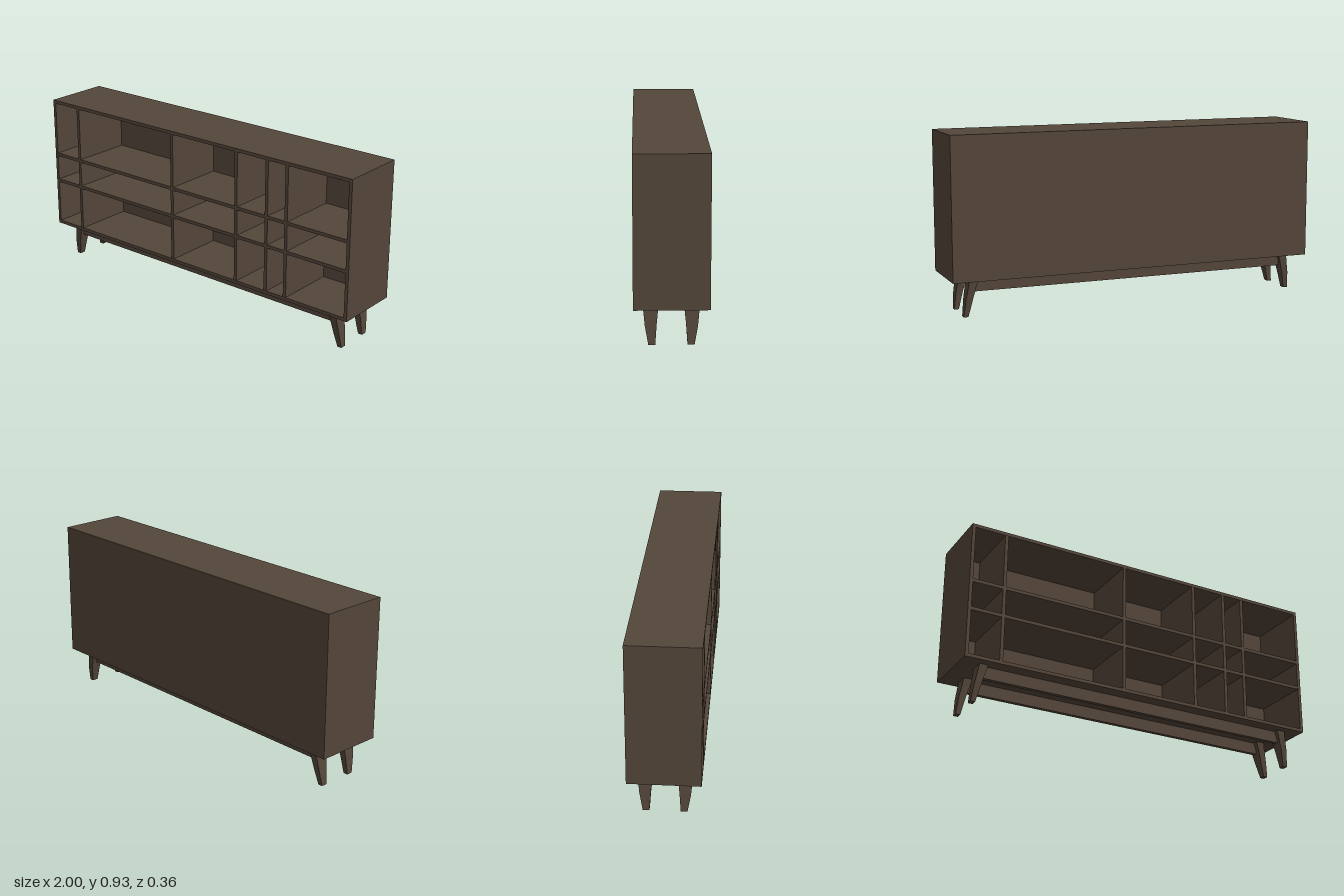
import * as THREE from 'three';

export function createModel() {
  const group = new THREE.Group();
  const wood = new THREE.MeshStandardMaterial({ color: 0x54463a });
  wood.name = 'darkWood';

  const X = 1, Z = 0.18, BOTTOM = 0.193, TOP = 0.93, T = 0.018;

  // Box given by its min and max corners
  function panel(name, x0, x1, y0, y1, z0, z1) {
    const mesh = new THREE.Mesh(new THREE.BoxGeometry(x1 - x0, y1 - y0, z1 - z0), wood);
    mesh.position.set((x0 + x1) / 2, (y0 + y1) / 2, (z0 + z1) / 2);
    mesh.name = name;
    group.add(mesh);
  }

  // Carcass
  panel('topPanel', -X, X, TOP - T, TOP, -Z, Z);
  panel('bottomPanel', -X, X, BOTTOM, BOTTOM + T, -Z, Z);
  panel('rightSide', -X, -X + T, BOTTOM + T, TOP - T, -Z, Z);
  panel('leftSide', X - T, X, BOTTOM + T, TOP - T, -Z, Z);
  panel('backPanel', -X + T, X - T, BOTTOM + T, TOP - T, -Z, -Z + 0.03);

  // Upright dividers
  const uprights = [-0.81, -0.124, 0.306, 0.5, 0.622];
  for (const x of uprights) {
    panel('divider', x - T / 2, x + T / 2, BOTTOM + T, TOP - T, -Z + 0.03, Z - 0.001);
  }

  // Shelves, one piece per bay between the uprights
  const bays = [-X + T / 2, ...uprights, X - T / 2];
  for (const y of [0.456, 0.612]) {
    for (let i = 0; i < bays.length - 1; i++) {
      panel('shelf', bays[i] + T / 2, bays[i + 1] - T / 2, y - T / 2, y + T / 2, -Z + 0.03, Z - 0.001);
    }
  }

  // Rails under the carcass, between the legs
  for (const s of [-1, 1]) {
    panel('rail', -0.87, 0.87, 0.13, BOTTOM, s * 0.1 - 0.011, s * 0.1 + 0.011);
  }

  // Splayed, tapered legs: [y, inner x, outer x, inner z, outer z]
  const sections = [
    [0, 0.906, 0.93, 0.076, 0.109],
    [0.09, 0.886, 0.921, 0.07, 0.125],
    [0.16, 0.868, 0.909, 0.063, 0.132],
    [BOTTOM, 0.858, 0.905, 0.06, 0.136],
  ];
  function legGeometry(sx, sz) {
    const geo = new THREE.BoxGeometry(1, 1, 1, 1, sections.length - 1, 1);
    const p = geo.attributes.position;
    for (let i = 0; i < p.count; i++) {
      const row = sections[Math.round((p.getY(i) + 0.5) * (sections.length - 1))];
      const outX = p.getX(i) * sx > 0, outZ = p.getZ(i) * sz > 0;
      p.setXYZ(i, sx * row[outX ? 2 : 1], row[0], sz * row[outZ ? 4 : 3]);
    }
    geo.computeVertexNormals();
    return geo;
  }
  for (const sx of [-1, 1]) {
    for (const sz of [-1, 1]) {
      const leg = new THREE.Mesh(legGeometry(sx, sz), wood);
      leg.name = (sz > 0 ? 'front' : 'back') + (sx > 0 ? 'Left' : 'Right') + 'Leg';
      group.add(leg);
    }
  }
  return group;
}
